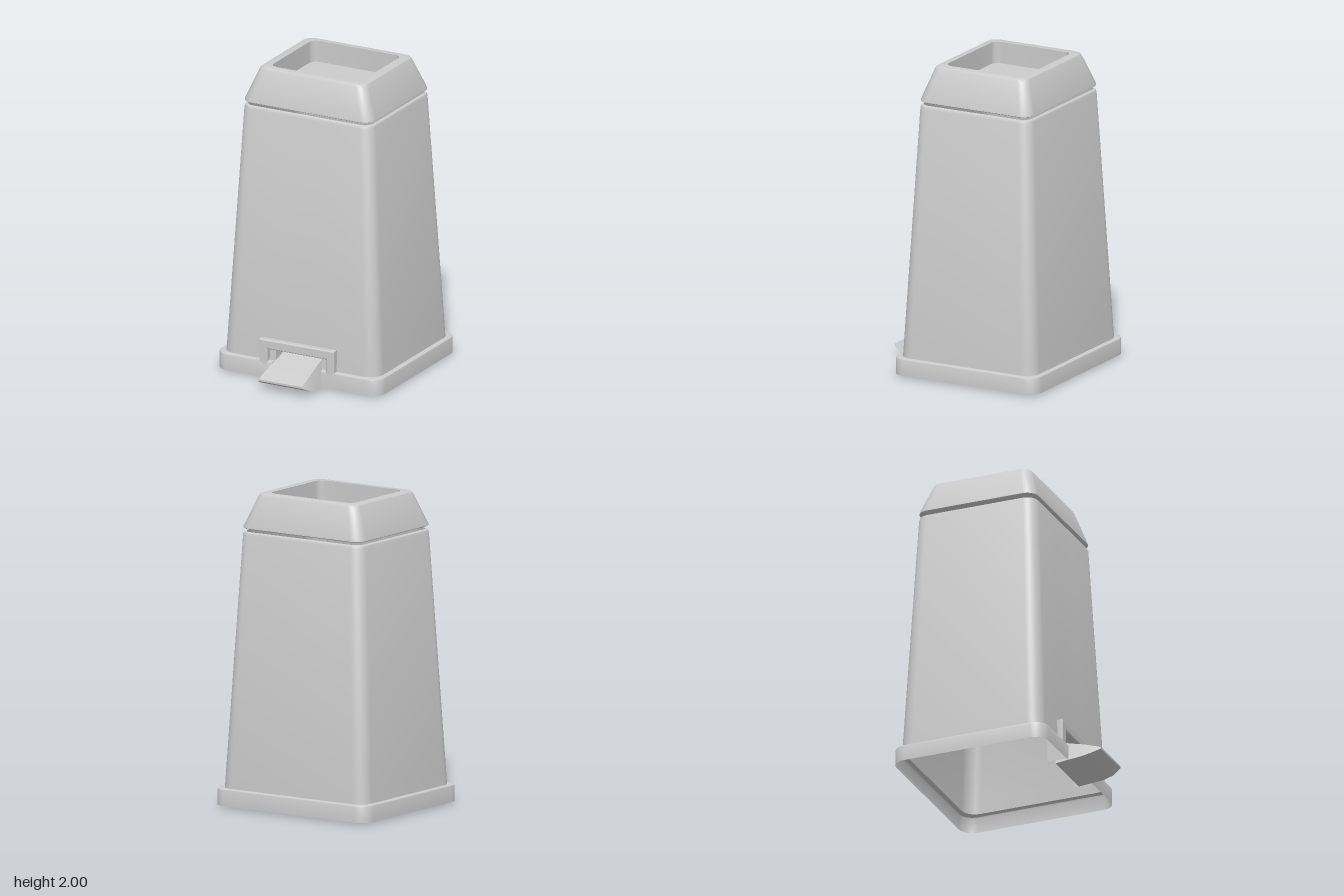
import * as THREE from 'three';
import { toCreasedNormals } from 'three/addons/utils/BufferGeometryUtils.js';

const CZ = -0.105; // centre of the bin in z (the pedal sticks out in front)
const STEPS = 8; // segments per rounded corner
const NOTCH = STEPS + 1; // ring segment that spans the pedal opening

const grey = new THREE.MeshStandardMaterial({ color: 0xcccccc });
const thin = new THREE.MeshStandardMaterial({ color: 0xcccccc, side: THREE.DoubleSide });

// Rounded rectangle at height y, with two extra points beside the pedal opening
function ring(y, hx, hz, r) {
  const pts = [];
  const corners = [[1, 1], [-1, 1], [-1, -1], [1, -1]];
  corners.forEach(([sx, sz], k) => {
    for (let i = 0; i <= STEPS; i++) {
      const a = (k + i / STEPS) * Math.PI / 2;
      pts.push([sx * (hx - r) + r * Math.cos(a), y, CZ + sz * (hz - r) + r * Math.sin(a)]);
    }
    if (k === 0) {
      const nx = Math.min(0.21, hx * 0.3);
      pts.push([nx, y, CZ + hz], [-nx, y, CZ + hz]);
    }
  });
  return pts;
}

// Skin over a list of rings; open(row, segment) leaves a hole
function loft(rings, open = () => false) {
  const n = rings[0].length, index = [];
  for (let k = 0; k < rings.length - 1; k++) {
    for (let i = 0; i < n; i++) {
      if (open(k, i)) continue;
      const j = (i + 1) % n;
      const a = k * n + i, b = k * n + j, c = b + n, d = a + n;
      index.push(a, d, c, a, c, b);
    }
  }
  const g = new THREE.BufferGeometry();
  g.setAttribute('position', new THREE.Float32BufferAttribute(rings.flat(2), 3));
  g.setIndex(index);
  return toCreasedNormals(g, 0.6);
}

export function createModel() {
  const model = new THREE.Group();
  model.name = 'pedalBin';
  const add = (name, geometry, material) => {
    const mesh = new THREE.Mesh(geometry, material);
    mesh.name = name;
    model.add(mesh);
    return mesh;
  };

  // Tapered body shell, open underneath and cut out behind the pedal
  add('body', loft([
    ring(0.12, 0.556, 0.487, 0.09),
    ring(0.2, 0.552, 0.483, 0.09),
    ring(1.735, 0.466, 0.406, 0.075),
    ring(1.75, 0.46, 0.4, 0.07),
    ring(1.757, 0.445, 0.385, 0.06),
  ], (k, i) => k === 0 && i === NOTCH), thin);

  // Hollow skirt around the foot
  add('base', loft([
    ring(0.01, 0.59, 0.52, 0.09),
    ring(0.108, 0.59, 0.52, 0.09),
    ring(0.116, 0.587, 0.517, 0.088),
    ring(0.12, 0.578, 0.508, 0.085),
    ring(0.12, 0.556, 0.487, 0.09),
  ], (k, i) => i === NOTCH), thin);

  // Lid with sloping sides and a recessed top
  add('lid', loft([
    ring(1.775, 0.002, 0.002, 0.001),
    ring(1.775, 0.455, 0.395, 0.07),
    ring(1.78, 0.464, 0.404, 0.075),
    ring(1.79, 0.463, 0.403, 0.075),
    ring(1.98, 0.387, 0.339, 0.06),
    ring(1.994, 0.379, 0.331, 0.058),
    ring(2.0, 0.366, 0.318, 0.055),
    ring(2.0, 0.32, 0.28, 0.05),
    ring(1.86, 0.32, 0.28, 0.05),
    ring(1.86, 0.002, 0.002, 0.001),
  ]), grey);

  // Raised arch around the pedal opening
  const b = 0.008;
  const arch = new THREE.Shape();
  [[-0.27, 0.1], [-0.21, 0.1], [-0.21, 0.2], [0.21, 0.2], [0.21, 0.1], [0.27, 0.1], [0.27, 0.26], [-0.27, 0.26]]
    .forEach(([x, y], i) => {
      const px = x - Math.sign(x) * (Math.abs(x) > 0.24 ? b : -b);
      const py = y > 0.23 ? y - b : y > 0.15 ? y + b : y;
      if (i) arch.lineTo(px, py); else arch.moveTo(px, py);
    });
  const archGeometry = new THREE.ExtrudeGeometry(arch, {
    depth: 0.04, bevelThickness: b, bevelSize: b, bevelSegments: 3,
  });
  add('pedalArch', archGeometry, grey).position.z = 0.415 - 0.04 - b;

  // Walls of the pedal channel behind the arch
  for (const s of [1, -1]) {
    const side = add('channelSide', new THREE.PlaneGeometry(0.13, 0.19), thin);
    side.position.set(s * 0.21, 0.105, 0.345);
    side.rotation.y = Math.PI / 2;
  }
  const roof = add('channelRoof', new THREE.PlaneGeometry(0.42, 0.11), thin);
  roof.position.set(0, 0.2, 0.335);
  roof.rotation.x = Math.PI / 2;
  const back = add('channelBack', new THREE.PlaneGeometry(0.42, 0.19), grey);
  back.position.set(0, 0.105, 0.28);
  back.rotation.y = Math.PI;

  // Foot pedal: trapezoid sections [z, bottom y, top y, bottom half width, top half width]
  const section = ([z, y0, y1, w0, w1]) => [[-w0, y0, z], [-w1, y1, z], [w1, y1, z], [w0, y0, z]];
  add('pedal', loft([
    [0.33, 0.08, 0.08, 0, 0],
    [0.33, 0, 0.17, 0.188, 0.14],
    [0.415, 0.008, 0.142, 0.19, 0.143],
    [0.5, 0.015, 0.118, 0.19, 0.15],
    [0.57, 0.032, 0.094, 0.183, 0.155],
    [0.628, 0.062, 0.074, 0.158, 0.152],
    [0.628, 0.068, 0.068, 0, 0],
  ].map(section)), grey);

  return model;
}
